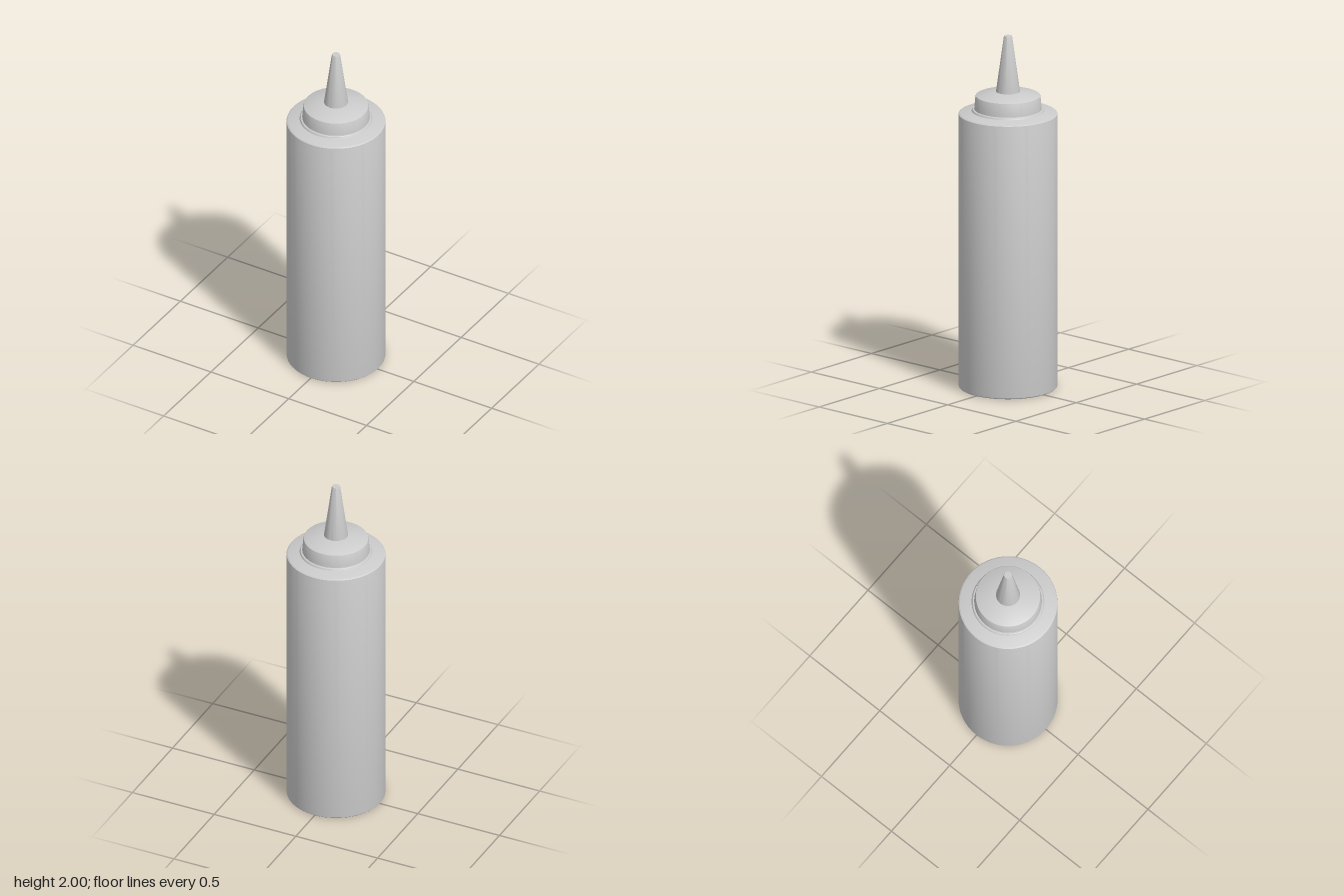
import * as THREE from 'three';
import { toCreasedNormals } from 'three/addons/utils/BufferGeometryUtils.js';

const material = new THREE.MeshStandardMaterial({ color: 0xcccccc });

// Revolves a [radius, height] profile, listed from bottom to top
function turned(name, profile) {
  const points = profile.map(([r, y]) => new THREE.Vector2(r, y));
  const geometry = toCreasedNormals(new THREE.LatheGeometry(points, 96), 0.5);
  const mesh = new THREE.Mesh(geometry, material);
  mesh.name = name;
  return mesh;
}

export function createModel() {
  const model = new THREE.Group();
  model.name = 'squeezeBottle';

  // Body with softened base edge, sloping shoulder and a low neck ring
  model.add(turned('body', [
    [0, 0], [0.262, 0], [0.267, 0.002], [0.271, 0.006], [0.272, 0.012],
    [0.272, 1.553], [0.271, 1.557], [0.268, 1.56], [0.262, 1.562],
    [0.2, 1.574], [0.198, 1.577], [0.196, 1.582], [0.192, 1.585], [0, 1.587],
  ]));

  // Cap with slightly tapered skirt and shallow conical top
  model.add(turned('cap', [
    [0, 1.582], [0.186, 1.582], [0.185, 1.592], [0.179, 1.655],
    [0.177, 1.66], [0.172, 1.663], [0.064, 1.684], [0, 1.684],
  ]));

  // Tapered nozzle
  model.add(turned('nozzle', [
    [0, 1.675], [0.066, 1.675], [0.066, 1.685], [0.023, 1.995], [0.021, 2], [0, 2],
  ]));

  return model;
}
